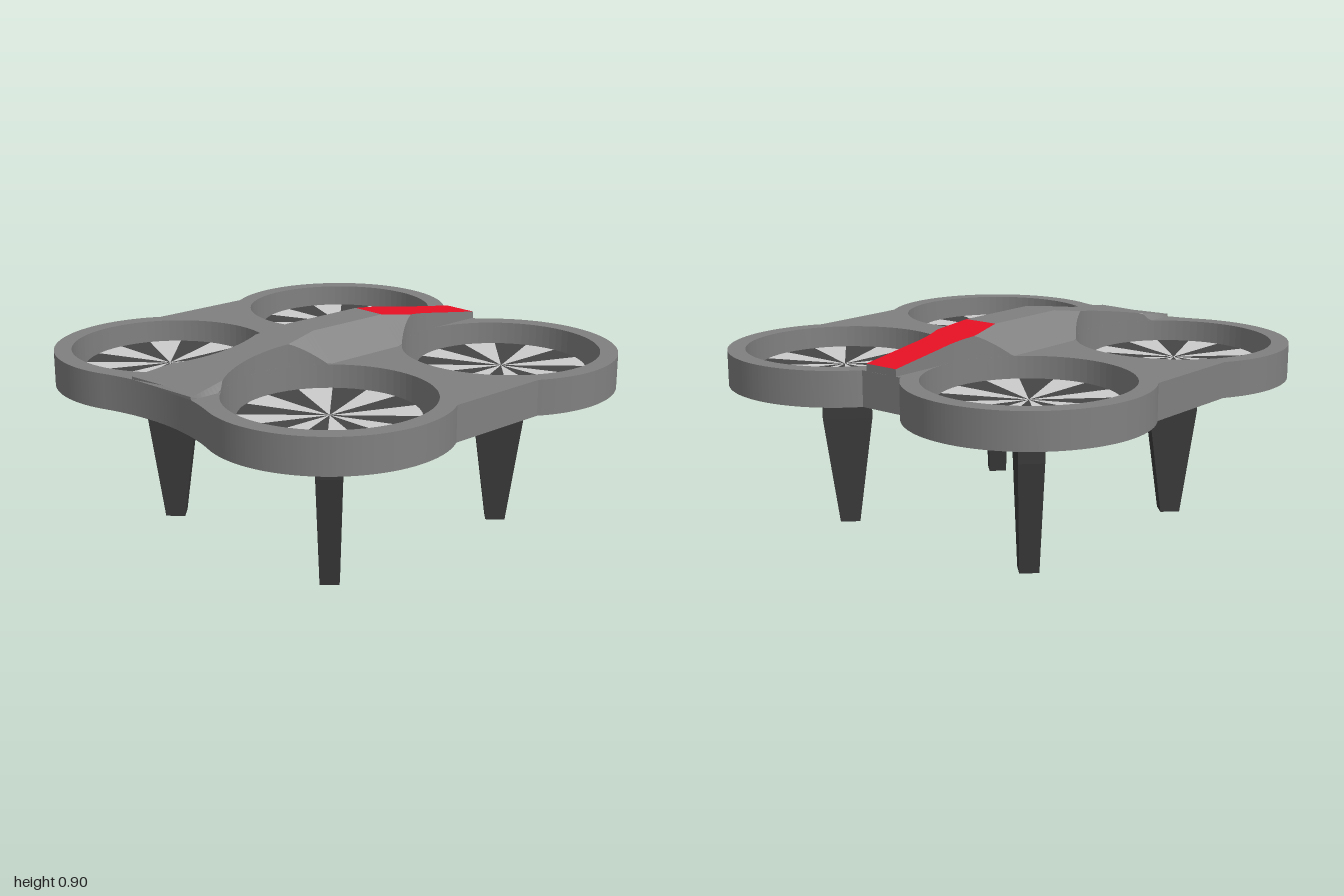
import * as THREE from 'three';

const C = 0.502, HOLE = 0.423, RIM = 0.498;   // duct centre offset, inner and outer radius
const TOP = 0.78, BOTTOM = 0.63;              // deck levels
const TAIL_C = 1.942, TAIL_R = 1.027;         // concave edge on the -x end
const QUADS = [[1, 1], [-1, 1], [-1, -1], [1, -1]];

const paint = (color, side = THREE.FrontSide) =>
  new THREE.MeshStandardMaterial({ color, flatShading: true, side });

function add(parent, name, geometry, material) {
  const mesh = new THREE.Mesh(geometry, material);
  mesh.name = name;
  parent.add(mesh);
  return mesh;
}

// Half width left between the duct holes at a given x
function gap(x) {
  const d = Math.abs(x) - C;
  return Math.abs(d) < HOLE ? C - Math.sqrt(HOLE * HOLE - d * d) : 1;
}

// Extrude a plan drawn in x and z downward from the level y
function slab(shape, y, depth) {
  const g = new THREE.ExtrudeGeometry(shape, { depth, bevelEnabled: false, curveSegments: 40 });
  return g.rotateX(Math.PI / 2).translate(0, y, 0);
}

// Flat deck: four ducts, straight front and back, notch at +x, concave tail at -x
function deckGeometry() {
  const a = Math.atan2, s = new THREE.Shape();
  const tangent = Math.asin(C / (TAIL_R + RIM));
  s.moveTo(0.8, 0.105);
  s.absarc(C, C, RIM, a(-0.397, 0.298), a(0.423, -0.262), false);
  s.absarc(-C, C, RIM, a(0.423, 0.262), Math.PI + tangent, false);
  s.absarc(-TAIL_C, 0, TAIL_R, tangent, -tangent, true);
  s.absarc(-C, -C, RIM, Math.PI - tangent, a(-0.423, 0.262) + 2 * Math.PI, false);
  s.absarc(C, -C, RIM, a(-0.423, -0.262), a(0.397, 0.298), false);
  s.lineTo(0.8, -0.105);
  for (const [sx, sz] of QUADS) {
    const hole = new THREE.Path();
    hole.absarc(sx * C, sz * C, HOLE, 0, Math.PI * 2, true);
    s.holes.push(hole);
  }
  return slab(s, TOP, TOP - BOTTOM);
}

// One cross-section of the raised spine, trimmed by the ducts
function spineSection(x, isTail) {
  const y = x < -0.2 ? 0.9 + (x + 0.2) * 0.15 : x > 0.2 ? 0.9 - (x - 0.2) * 0.15 : 0.9;
  const nose = x > C;
  const full = nose ? 0.08 : 0.08 + 0.15 * Math.max(0, Math.abs(x) - 0.2);
  const base = nose ? 0.08 : 0.19;
  const t = Math.min(full, gap(x)), b = Math.max(t, Math.min(base, gap(x)));
  const yb = b > t ? y - (y - TOP) * (b - t) / (base - t) : y;
  return [[-b, TOP], [-b, yb], [-t, y], [0, y], [t, y], [b, yb], [b, TOP]].map(([z, py]) =>
    new THREE.Vector3(isTail ? Math.sqrt(TAIL_R ** 2 - z * z) - TAIL_C : x, py, z));
}

function addSpine(parent, grey, red) {
  const xs = [-0.92];
  const span = (from, to, n) => {
    for (let i = 0; i <= n; i++) xs.push(from + (to - from) * i / n);
  };
  span(-0.9, -0.2, 35);
  span(0.2, C, 15);
  span(C + 0.001, 0.8, 6);
  const rows = xs.map((x, i) => spineSection(x, i === 0));
  const body = [], stripe = [];
  for (let i = 0; i < rows.length - 1; i++) {
    const p = rows[i], q = rows[i + 1];
    for (let j = 0; j < 6; j++) {
      const onStripe = xs[i] >= 0.199 && (j === 2 || j === 3);
      (onStripe ? stripe : body).push(p[j], p[j + 1], q[j + 1], p[j], q[j + 1], q[j]);
    }
  }
  const first = rows[0], last = rows[rows.length - 1];
  for (let j = 1; j < 6; j++) {
    body.push(last[0], last[j], last[j + 1], first[0], first[j + 1], first[j]);
  }
  const make = (pts) => {
    const g = new THREE.BufferGeometry().setFromPoints(pts);
    g.computeVertexNormals();
    return g;
  };
  add(parent, 'spine', make(body), grey);
  add(parent, 'redStripe', make(stripe), red);
}

// Underside pod whose sides follow the ducts
function podGeometry() {
  const side = [];
  for (let i = 0; i <= 12; i++) {
    const x = 0.145 + 0.275 * i / 12;
    side.push([x, Math.min(0.27, gap(x))]);
  }
  const back = [...side].reverse();
  const ring = [
    ...back,
    ...side.map(([x, z]) => [-x, z]),
    ...back.map(([x, z]) => [-x, -z]),
    ...side.map(([x, z]) => [x, -z]),
  ];
  return slab(new THREE.Shape(ring.map(([x, z]) => new THREE.Vector2(x, z))), BOTTOM, 0.115);
}

// Leg with a straight upper block and a tapered lower part, x pointing outward
function legGeometry() {
  const g = new THREE.BoxGeometry(1, 1, 1, 1, 2, 1);
  const p = g.attributes.position;
  for (let i = 0; i < p.count; i++) {
    const level = Math.round(p.getY(i) * 2) + 1;
    const [y, length, width] = [[0, 0.085, 0.08], [0.47, 0.212, 0.106], [0.59, 0.212, 0.106]][level];
    p.setXYZ(i, p.getX(i) * length, y, p.getZ(i) * width);
  }
  g.computeVertexNormals();
  return g;
}

// Sixteen flat sectors in two alternating tones
function makeRotor(light, dark) {
  const rotor = new THREE.Group();
  const step = Math.PI / 8;
  for (let i = 0; i < 16; i++) {
    const g = new THREE.CircleGeometry(0.362, 1, Math.PI / 2 - (i + 1) * step, step);
    g.rotateX(-Math.PI / 2);
    add(rotor, 'rotorBlade', g, i % 2 ? light : dark);
  }
  return rotor;
}

export function createModel() {
  const model = new THREE.Group();
  model.name = 'quadcopter';
  const grey = paint(0x808080), black = paint(0x3a3a3a), red = paint(0xe81024);
  const light = paint(0xcccccc, THREE.DoubleSide), dark = paint(0x464646, THREE.DoubleSide);

  add(model, 'ductDeck', deckGeometry(), grey);
  addSpine(model, grey, red);
  add(model, 'underPod', podGeometry(), black);

  // Rotor, diagonal arm and leg in each corner
  for (const [sx, sz] of QUADS) {
    const rotor = makeRotor(light, dark);
    rotor.name = 'rotor';
    rotor.position.set(sx * 0.506, 0.7, sz * 0.506);
    model.add(rotor);

    const corner = new THREE.Group();
    corner.name = 'armAndLeg';
    corner.rotation.y = Math.atan2(-sz, sx);
    add(corner, 'arm', new THREE.BoxGeometry(0.475, 0.04, 0.08), black).position.set(0.4825, 0.61, 0);
    add(corner, 'leg', legGeometry(), black).position.x = 0.71;
    model.add(corner);
  }
  return model;
}
